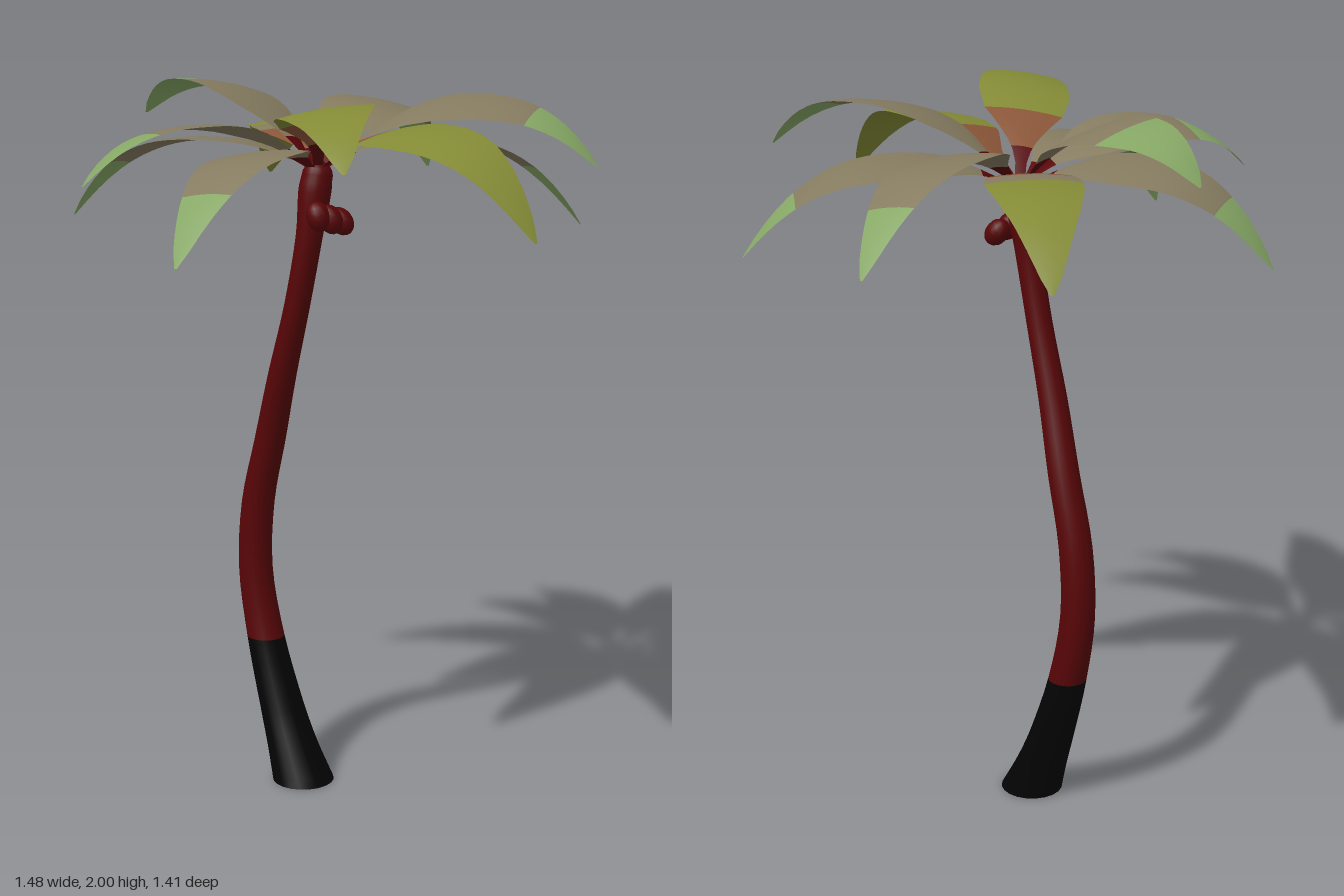
import * as THREE from 'three';

const mat = (name, color, side = THREE.FrontSide) => {
  const m = new THREE.MeshStandardMaterial({ color, side });
  m.name = name;
  return m;
};

// Surface from rows of points; rowMaterial(i) gives the material index between rows i and i + 1
function loft(rows, closed, rowMaterial) {
  const n = rows[0].length;
  const index = [];
  const geo = new THREE.BufferGeometry().setFromPoints(rows.flat());
  for (let i = 0; i < rows.length - 1; i++) {
    const start = index.length;
    for (let j = 0; j < (closed ? n : n - 1); j++) {
      const k = (j + 1) % n;
      const a = i * n + j, b = i * n + k, c = a + n, d = b + n;
      index.push(a, c, b, b, c, d);
    }
    geo.addGroup(start, index.length - start, rowMaterial(i));
  }
  geo.setIndex(index);
  geo.computeVertexNormals();
  return geo;
}

export function createModel() {
  const tree = new THREE.Group();
  tree.name = 'palmTree';
  const bark = mat('darkRedBark', 0x580507);
  const charred = mat('blackBark', 0x030303);
  const leafMats = [
    mat('stalkRed', 0x580507, THREE.DoubleSide),
    mat('leafGrey', 0x857b60, THREE.DoubleSide),
    mat('leafGreen', 0x86a765, THREE.DoubleSide),
    mat('leafOlive', 0x848b36, THREE.DoubleSide),
    mat('leafBrown', 0x8b5638, THREE.DoubleSide),
  ];
  const [RED, GREY, GREEN, OLIVE, BROWN] = [0, 1, 2, 3, 4];
  const add = (name, geo, material, x = 0, y = 0, z = 0) => {
    const mesh = new THREE.Mesh(geo, material);
    mesh.name = name;
    mesh.position.set(x, y, z);
    tree.add(mesh);
    return mesh;
  };

  // Trunk: x, y, z, radius along the bend
  const keys = [
    [-0.09, 0, 0.027, 0.088], [-0.132, 0.1, 0.012, 0.073], [-0.172, 0.2, -0.006, 0.064],
    [-0.235, 0.4, -0.03, 0.054], [-0.268, 0.6, -0.036, 0.049], [-0.256, 0.8, -0.03, 0.047],
    [-0.205, 1, -0.008, 0.044], [-0.148, 1.2, 0.03, 0.04], [-0.09, 1.4, 0.057, 0.036],
    [-0.047, 1.6, 0.068, 0.037], [-0.034, 1.72, 0.06, 0.045], [-0.03, 1.77, 0.055, 0.04],
  ];
  const path = new THREE.CatmullRomCurve3(keys.map(k => new THREE.Vector3(k[0], k[1], k[2])));
  const girth = new THREE.CatmullRomCurve3(keys.map((k, i) => new THREE.Vector3(i, k[3], 0)));
  const perKey = 4, count = (keys.length - 1) * perKey, sides = 20;
  const rings = [];
  for (let i = 0; i <= count; i++) {
    const p = path.getPoint(i / count), r = girth.getPoint(i / count).y;
    rings.push(Array.from({ length: sides }, (_, j) => {
      const a = (j / sides) * Math.PI * 2;
      return new THREE.Vector3(p.x + r * Math.cos(a), p.y, p.z + r * Math.sin(a));
    }));
  }
  add('trunk', loft(rings, true, i => (i < 3 * perKey ? 0 : 1)), [charred, bark]);
  add('trunkBase', new THREE.CircleGeometry(0.088, sides).rotateX(Math.PI / 2), charred, -0.09, 0, 0.027);

  // Crown bud
  add('crown', new THREE.SphereGeometry(0.042, 16, 10), bark, -0.03, 1.76, 0.053);

  // Coconuts
  for (const [x, y, z, tilt] of [[0.0, 1.66, 0.113, 0.3], [0.035, 1.64, 0.043, 0.7], [0.022, 1.65, 0.083, 0.5]]) {
    const nut = add('coconut', new THREE.SphereGeometry(0.032, 14, 10), bark, x, y, z);
    nut.scale.y = 1.3;
    nut.rotation.z = tilt;
  }

  // Half width of a leaf from stalk to tip: t, half width
  const outline = [[0, 0.012], [0.1, 0.016], [0.16, 0.036], [0.3, 0.107], [0.42, 0.127],
    [0.55, 0.122], [0.7, 0.098], [0.85, 0.061], [0.95, 0.03], [1, 0.004]];
  const halfWidth = t => {
    let i = 1;
    while (i < outline.length - 1 && outline[i][0] < t) i++;
    const [t0, w0] = outline[i - 1], [t1, w1] = outline[i];
    return w0 + (w1 - w0) * (t - t0) / (t1 - t0);
  };
  const base = new THREE.Vector3(-0.03, 1.765, 0.05);

  // Leaf: tip, height of the arch, sideways bow, roll to its right, bands of [end, colour]
  function leaf(tip, peak, bow, roll, bands) {
    const [x, y, z] = tip;
    const side = new THREE.Vector3(-(z - base.z), 0, x - base.x).normalize();
    const rise = Math.sqrt(peak - base.y), fall = Math.sqrt(peak - y);
    const top = rise / (rise + fall);
    const ts = Array.from({ length: 25 }, (_, i) => i / 24)
      .concat(bands.slice(0, -1).map(b => b[0])).sort((a, b) => a - b);
    const rows = ts.map(t => {
      const w = halfWidth(t);
      // Gentle rise from the stalk, steeper drop towards the tip
      const h = t < top
        ? peak - (peak - base.y) * (1 - t / top) ** 2
        : peak - (peak - y) * ((t - top) / (1 - top)) ** 2.8;
      return [-1, -0.67, -0.33, 0, 0.33, 0.67, 1].map(s => {
        const off = s * w + bow * 4 * t * (1 - t);
        return new THREE.Vector3(
          base.x + (x - base.x) * t + side.x * off,
          h - w * (0.07 * s * s + roll * s),
          base.z + (z - base.z) * t + side.z * off);
      });
    });
    const colour = i => bands.find(b => (ts[i] + ts[i + 1]) / 2 <= b[0])[1];
    add('leaf', loft(rows, false, colour), leafMats);
  }
  const grey = end => [[0.14, RED], [end, GREY], [1, GREEN]];
  const olive = end => [[0.14, RED], [end, BROWN], [1, OLIVE]];
  leaf([-0.015, 1.69, -0.705], 1.92, 0, 0.17, grey(0.82));
  leaf([0.565, 1.6, -0.4], 1.855, -0.045, -0.08, grey(0.81));
  leaf([0.735, 1.82, -0.005], 1.97, 0, 0.18, grey(0.77));
  leaf([0.705, 1.68, 0.375], 1.91, 0, 0.15, olive(0.32));
  leaf([0.335, 1.87, 0.7], 1.988, 0.012, 0.14, olive(0.3));
  leaf([-0.12, 1.61, 0.7], 1.855, 0, 0.12, grey(0.79));
  leaf([-0.455, 1.775, 0.57], 1.915, 0, 0.15, grey(0.73));
  leaf([-0.74, 1.62, 0.13], 1.855, -0.012, 0.12, grey(0.8));
  leaf([-0.65, 1.88, -0.135], 1.988, 0, 0.17, grey(0.6));
  leaf([-0.45, 1.67, -0.53], 1.865, 0, 0, [[0.14, RED], [0.34, BROWN], [0.45, GREY], [1, OLIVE]]);

  return tree;
}
